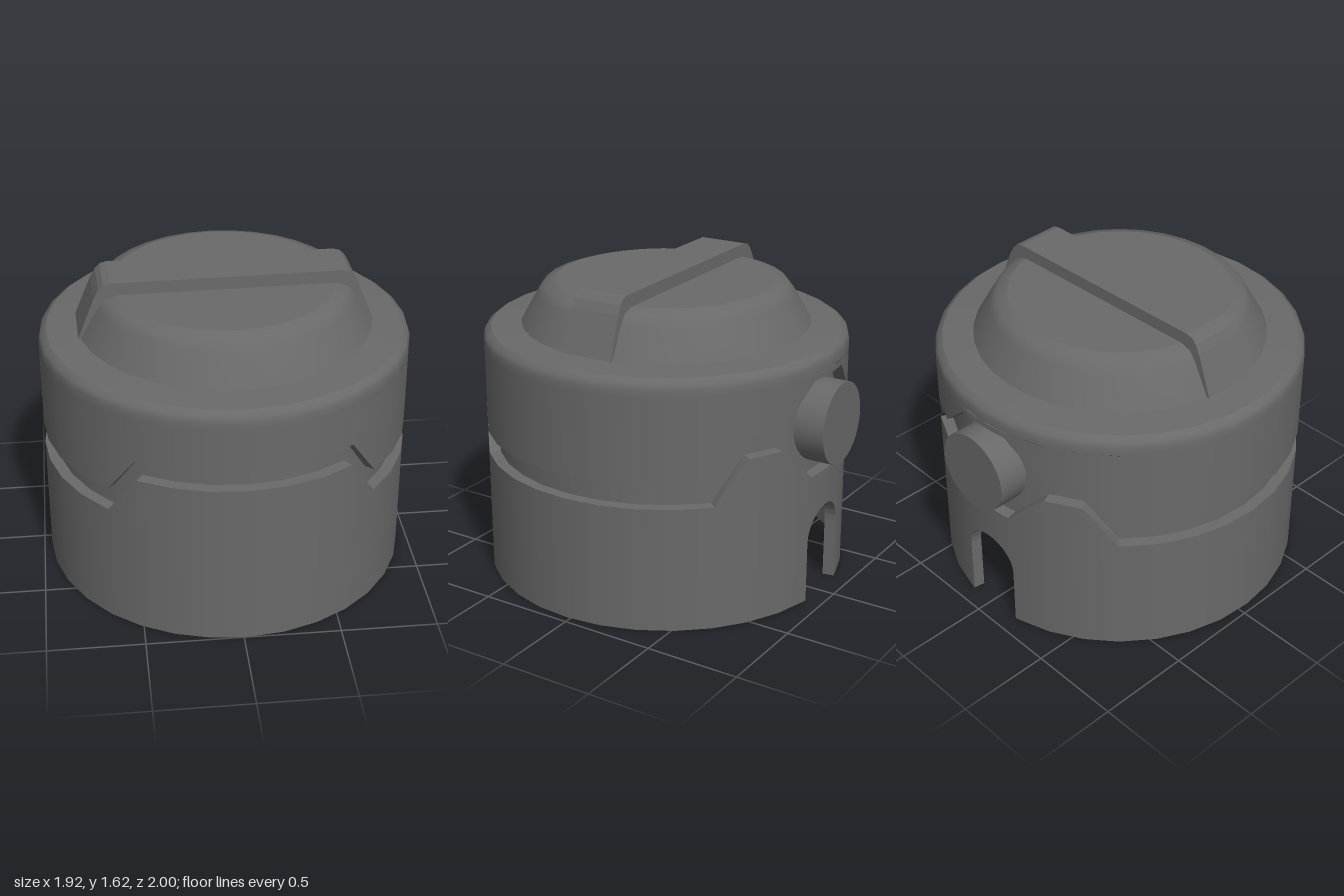
import * as THREE from 'three';

const R = 0.96, RI = 0.9, CZ = 0.04;          // outer radius, groove radius, axis offset
const TURN = 0.024;                           // slight turn of the whole body
const SLOT = 0.165, SPRING = 0.325;           // slot half width and arch spring height
const SLOT_DEG = THREE.MathUtils.radToDeg(Math.asin(SLOT / R));

// Edge heights of the groove by degrees from the back (mirrored left/right)
const LOW = [[0, 0.69], [9, 0.69], [22, 0.89], [33.7, 0.89], [44.4, 0.66], [135.6, 0.66], [146.3, 0.89], [180, 0.89]];
const UP = [[0, 1.2], [9, 1.2], [22, 1.01], [33.5, 1.01], [44.4, 0.78], [135.6, 0.78], [146.5, 1.01], [180, 1.01]];

const material = new THREE.MeshStandardMaterial({ color: 0x696969, side: THREE.DoubleSide });
const flatMaterial = new THREE.MeshStandardMaterial({ color: 0x696969, side: THREE.DoubleSide, flatShading: true });

function lookup(table, deg) {
  const a = Math.abs(deg);
  for (let i = 1; i < table.length; i++) {
    const [a0, y0] = table[i - 1], [a1, y1] = table[i];
    if (a <= a1) return y0 + (y1 - y0) * (a - a0) / (a1 - a0);
  }
  return table[table.length - 1][1];
}
const low = (d) => lookup(LOW, d);
const up = (d) => lookup(UP, d);

// Bottom rim: zero, except for the arched slot at the back
function bottom(deg) {
  if (Math.abs(deg) > SLOT_DEG + 0.005) return 0;
  const x = R * Math.sin(THREE.MathUtils.degToRad(deg));
  return SPRING + Math.sqrt(Math.max(0, SLOT * SLOT - x * x));
}

// Column angles: 32 sides plus every break in the edges
function columnAngles() {
  const half = new Set([SLOT_DEG, SLOT_DEG + 0.01]);
  for (let i = 0; i <= 16; i++) half.add(i * 11.25);
  for (const [a] of [...LOW, ...UP]) half.add(a);
  for (let i = 1; i < 8; i++) {
    half.add(THREE.MathUtils.radToDeg(Math.asin(SLOT * Math.sin(i * Math.PI / 16) / R)));
  }
  const all = new Set();
  for (const a of half) { all.add(a); all.add(a === 0 ? 0 : -a); }
  return [...all].sort((a, b) => a - b);
}

// Strip around the axis between two edges, each a radius and a height rule
function strip(name, columns, r0, y0, r1, y1) {
  const pos = [], nor = [], idx = [];
  columns.forEach((d, i) => {
    const t = THREE.MathUtils.degToRad(d + 180), s = Math.sin(t), c = Math.cos(t);
    pos.push(r0 * s, y0(d), r0 * c, r1 * s, y1(d), r1 * c);
    nor.push(s, 0, c, s, 0, c);
    if (i > 0) {
      const a = 2 * (i - 1), b = 2 * i;
      idx.push(a, b, b + 1, a, b + 1, a + 1);
    }
  });
  const g = new THREE.BufferGeometry();
  g.setAttribute('position', new THREE.Float32BufferAttribute(pos, 3));
  g.setAttribute('normal', new THREE.Float32BufferAttribute(nor, 3));
  g.setIndex(idx);
  const mesh = new THREE.Mesh(g, r0 === r1 ? material : flatMaterial);
  mesh.name = name;
  return mesh;
}

function lathe(name, points) {
  const g = new THREE.LatheGeometry(points.map(([x, y]) => new THREE.Vector2(x, y)), 32);
  const mesh = new THREE.Mesh(g, material);
  mesh.name = name;
  return mesh;
}

export function createModel() {
  const model = new THREE.Group();
  model.name = 'cappedCanister';
  const body = new THREE.Group();
  body.name = 'body';
  body.position.z = CZ;
  body.rotation.y = TURN;
  model.add(body);

  // Hollow shell with the stepped groove and the rear slot
  const cols = columnAngles();
  const slotCols = cols.filter((d) => Math.abs(d) <= SLOT_DEG + 0.011);
  body.add(
    strip('slotWall', slotCols, RI, bottom, R, bottom),
    strip('lowerShell', cols, R, bottom, R, low),
    strip('grooveLowerLedge', cols, R, low, RI, low),
    strip('grooveWall', cols, RI, low, RI, up),
    strip('grooveUpperLedge', cols, RI, up, R, up),
    strip('upperShell', cols, R, up, R, () => 1.23),
  );

  // Rounded shoulder and flat rim around the cap
  body.add(
    lathe('shoulder', [[R, 1.23], [R, 1.27], [0.95, 1.3], [0.92, 1.322]]),
    lathe('rim', [[0.92, 1.322], [0.76, 1.335]]),
  );

  // Domed cap
  body.add(
    lathe('capSide', [[0.76, 1.335], [0.67, 1.495], [0.635, 1.54], [0.575, 1.56]]),
    lathe('capTop', [[0.575, 1.56], [0, 1.56]]),
  );

  // Grip bar across the cap, wider at its foot
  const side = [[0.76, 1.335], [0.675, 1.545], [0.65, 1.59], [0.625, 1.615], [0.59, 1.625]];
  const outline = [...side, ...side.map(([x, y]) => [-x, y]).reverse()];
  const barShape = new THREE.Shape(outline.map(([x, y]) => new THREE.Vector2(x, y)));
  const barGeometry = new THREE.ExtrudeGeometry(barShape, { depth: 0.265, bevelEnabled: false });
  barGeometry.translate(0, 0, -0.1325);
  const p = barGeometry.attributes.position;
  for (let i = 0; i < p.count; i++) p.setZ(i, p.getZ(i) * (1 + 0.35 * (1.625 - p.getY(i))));
  const bar = new THREE.Mesh(barGeometry, flatMaterial);
  bar.name = 'gripBar';
  bar.position.z = -0.006;
  body.add(bar);

  // Round port at the back
  const port = new THREE.Mesh(new THREE.CylinderGeometry(0.215, 0.215, 0.2, 32), material);
  port.name = 'rearPort';
  port.rotation.x = Math.PI / 2;
  port.position.set(0, 0.948, -0.935);
  body.add(port);

  return model;
}
